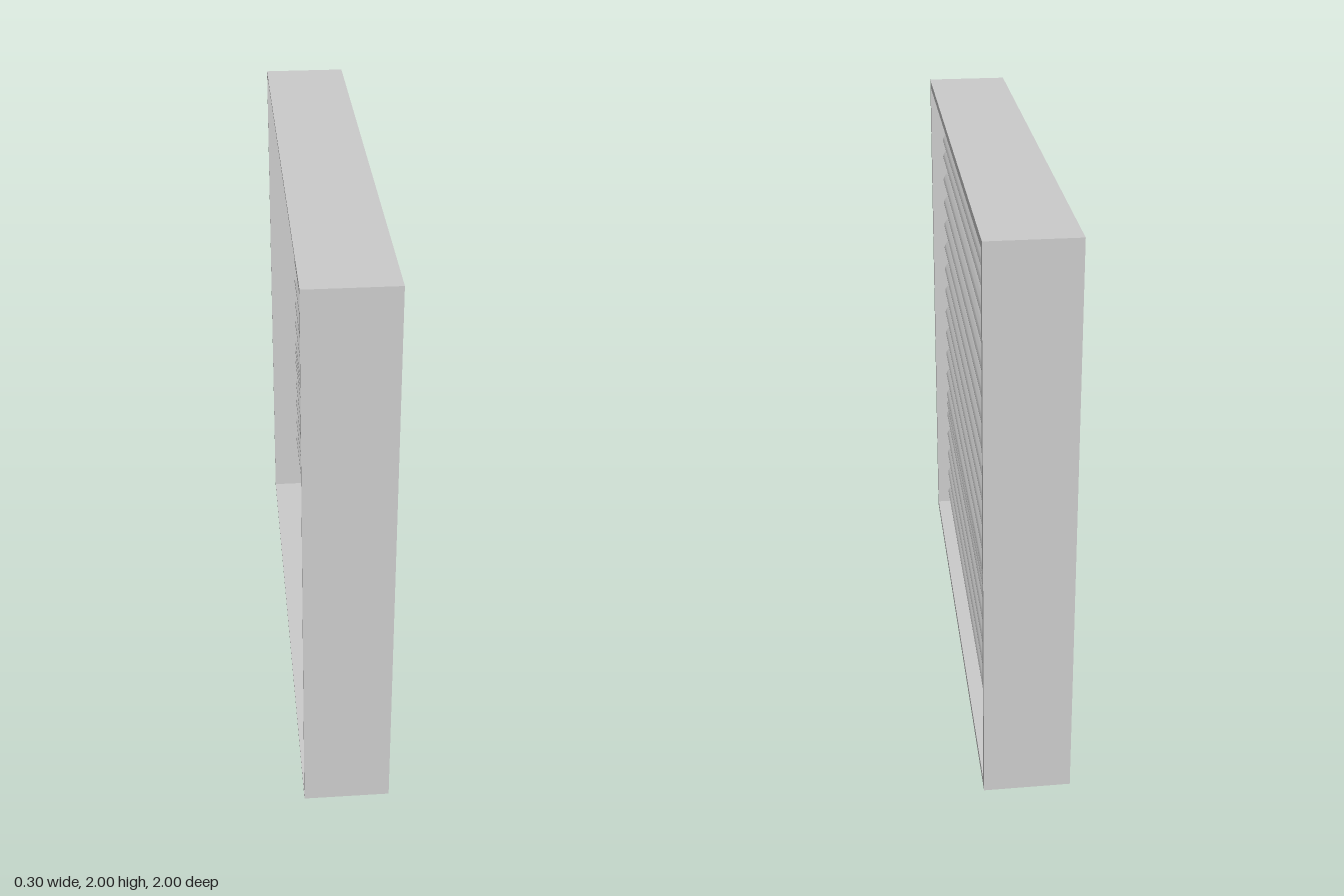
import * as THREE from 'three';
import { toCreasedNormals } from 'three/addons/utils/BufferGeometryUtils.js';

const material = new THREE.MeshStandardMaterial({ color: 0xcccccc, side: THREE.DoubleSide });

// Square ring standing upright, its depth running along x from x0 to x1
function ring(name, outer, inner, x0, x1) {
  const square = (Type, h) => new Type([
    new THREE.Vector2(-h, -h), new THREE.Vector2(h, -h),
    new THREE.Vector2(h, h), new THREE.Vector2(-h, h),
  ]);
  const shape = square(THREE.Shape, outer);
  shape.holes.push(square(THREE.Path, inner));
  const geometry = new THREE.ExtrudeGeometry(shape, { depth: x1 - x0, bevelEnabled: false });
  geometry.rotateY(Math.PI / 2);
  geometry.translate(x0, 1, 0);
  const mesh = new THREE.Mesh(geometry, material);
  mesh.name = name;
  return mesh;
}

// Thin sloping blade with a rounded, hooked nose at its low front edge
function slatGeometry(halfLength) {
  const s = new THREE.Shape();
  s.moveTo(-0.05, 0.208);
  s.lineTo(0.09, 0.036);
  s.bezierCurveTo(0.104, 0.02, 0.111, 0.0, 0.094, 0.0);
  s.lineTo(0.082, 0.004);
  s.lineTo(0.083, 0.011);
  s.lineTo(0.092, 0.009);
  s.quadraticCurveTo(0.096, 0.014, 0.084, 0.029);
  s.lineTo(-0.05, 0.195);
  s.closePath();
  const geometry = new THREE.ExtrudeGeometry(s, {
    depth: halfLength * 2, bevelEnabled: false, curveSegments: 8,
  });
  geometry.translate(0, 0, -halfLength);
  return toCreasedNormals(geometry, 0.7);
}

export function createModel() {
  const model = new THREE.Group();
  model.name = 'louverPanel';

  // Thin outer casing, with a thicker rim lining its front part
  model.add(ring('casing', 1, 0.99, -0.15, 0.15));
  model.add(ring('frontRim', 0.99, 0.972, 0.033, 0.15));

  // Regular rows of blades, plus a top blade and one doubled blade
  const heights = Array.from({ length: 17 }, (_, i) => 0.074 + i * 0.1);
  heights.push(1.744, 0.528);
  const blades = new THREE.Group();
  blades.name = 'slats';
  const geometry = slatGeometry(0.973);
  for (const y of heights) {
    const slat = new THREE.Mesh(geometry, material);
    slat.name = 'slat';
    slat.position.y = y;
    blades.add(slat);
  }
  model.add(blades);
  return model;
}
